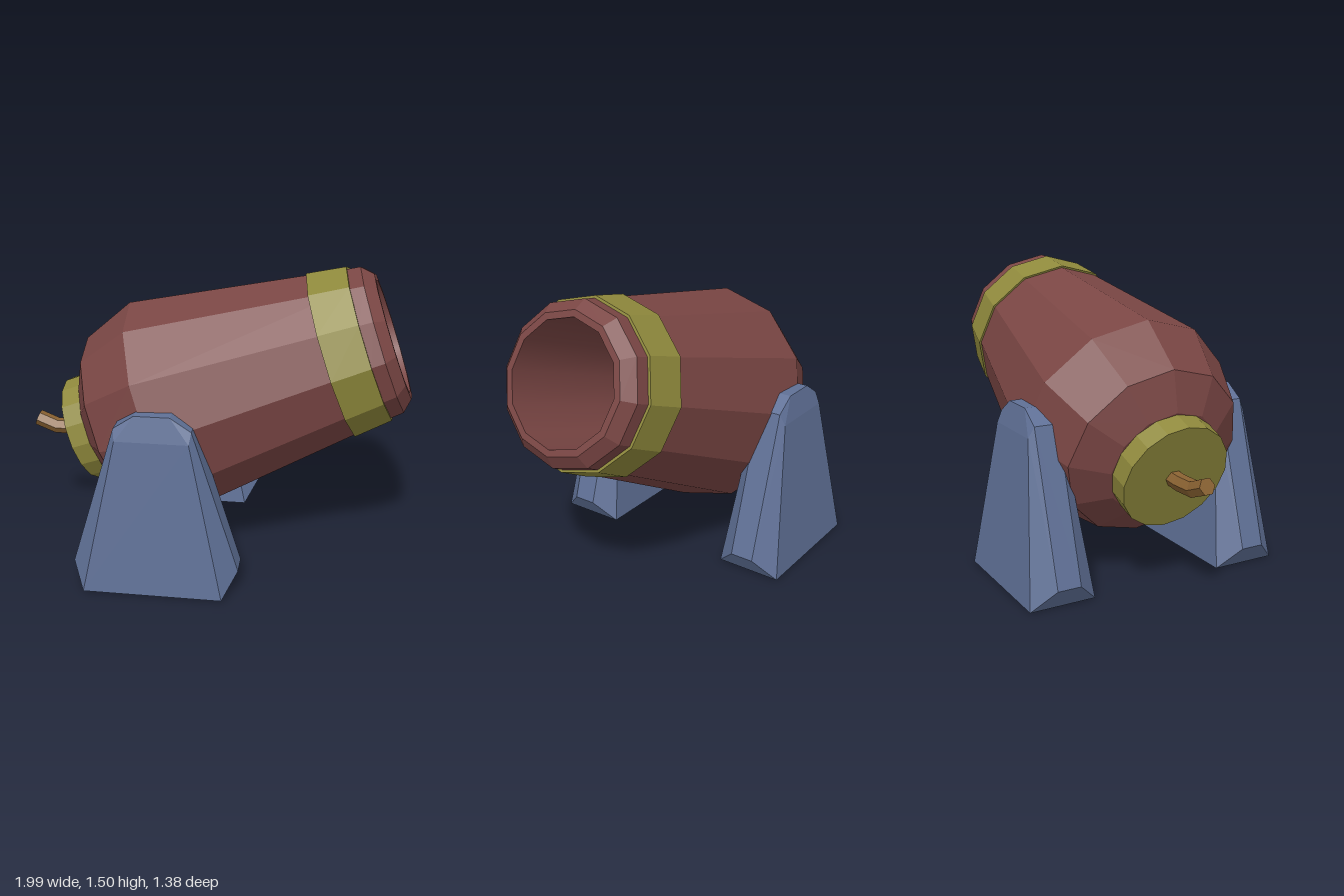
import * as THREE from 'three';
import { ConvexGeometry } from 'three/addons/geometries/ConvexGeometry.js';

const material = (color, flatShading = true) => new THREE.MeshStandardMaterial({ color, flatShading });
const RED = 0x7a4644, YELLOW = 0x8f893c, BLUE = 0x5f7096, FUSE = 0x8a6232;

function part(parent, name, geometry, mat) {
  const mesh = new THREE.Mesh(geometry, mat);
  mesh.name = name;
  parent.add(mesh);
  return mesh;
}

// Profile points are [radius, distance along the axis]
const lathe = (points, sides) =>
  new THREE.LatheGeometry(points.map(([r, t]) => new THREE.Vector2(r, t)), sides);

export function createModel() {
  const model = new THREE.Group();
  model.name = 'cannon';

  // Tilted gun: local y runs along the barrel, origin at the back of the muzzle band
  const gun = new THREE.Group();
  gun.name = 'gun';
  gun.position.set(0.593, 1.053, 0);
  gun.rotation.z = THREE.MathUtils.degToRad(-70);
  model.add(gun);

  // Outer barrel, breech to lip
  part(gun, 'barrel', lathe([
    [0, -1.28], [0.292, -1.28], [0.464, -1.18], [0.571, -0.896],
    [0.393, 0.195], [0.384, 0.261], [0.33, 0.314], [0.297, 0.314],
  ], 12), material(RED));

  // Hollow bore with a closed end
  part(gun, 'bore', lathe([[0.297, 0.314], [0.297, -0.7]], 12), material(RED, false));
  part(gun, 'boreEnd', lathe([[0.297, -0.7], [0, -0.7]], 12), material(RED));

  // Tapered band round the muzzle
  part(gun, 'muzzleBand', lathe([
    [0.415, 0], [0.435, 0], [0.406, 0.195], [0.385, 0.195],
  ], 12), material(YELLOW));

  // Disc closing the breech
  const cap = part(gun, 'breechCap', new THREE.CylinderGeometry(0.283, 0.28, 0.11, 16), material(YELLOW));
  cap.position.y = -1.329;

  // Bent fuse with a closed tip
  const path = new THREE.CatmullRomCurve3([
    [-0.66, 0.585], [-0.76, 0.575], [-0.87, 0.576], [-0.975, 0.618],
  ].map(([x, y]) => new THREE.Vector3(x, y, -0.015)));
  const fuse = new THREE.Group();
  fuse.name = 'fuse';
  model.add(fuse);
  part(fuse, 'fuseCord', new THREE.TubeGeometry(path, 3, 0.042, 6), material(FUSE));
  const tip = part(fuse, 'fuseTip', new THREE.CircleGeometry(0.042, 6), material(FUSE));
  tip.position.copy(path.getPoint(1));
  tip.lookAt(tip.position.clone().add(path.getTangent(1)));

  // Faceted side supports: [half width, height, half depth]
  const corners = [
    [0.342, 0, 0.169], [0.411, 0.107, 0.06], [0.178, 0.775, 0.088],
    [0.187, 0.83, 0.06], [0.086, 0.897, 0.06],
  ];
  const points = [];
  for (const [x, y, z] of corners)
    for (const sx of [-1, 1])
      for (const sz of [-1, 1]) points.push(new THREE.Vector3(sx * x, y, sz * z));
  for (const side of [-1, 1]) {
    const support = part(model, side > 0 ? 'frontSupport' : 'backSupport',
      new ConvexGeometry(points), material(BLUE));
    support.position.set(-0.224, 0, side * 0.521);
  }
  return model;
}
